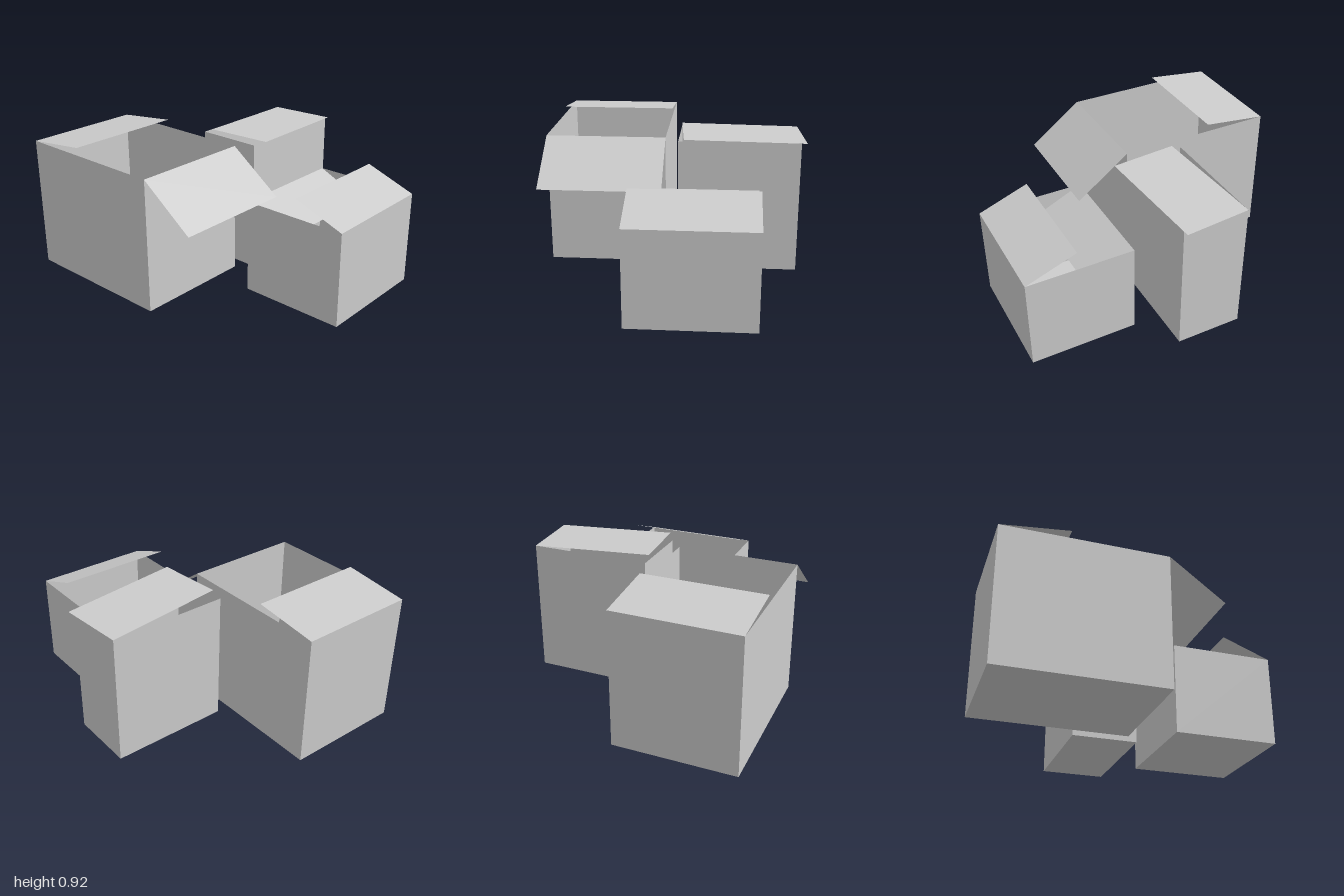
import * as THREE from 'three';

const cardboard = new THREE.MeshStandardMaterial({ color: 0xcccccc, side: THREE.DoubleSide });
cardboard.name = 'plain grey card';

// Thin-walled carton: a box without its top face, standing on the floor
function openBox(name, x0, x1, z0, z1, height) {
  const geometry = new THREE.BoxGeometry(x1 - x0, height, z1 - z0);
  const index = Array.from(geometry.index.array);
  index.splice(12, 6); // drop the +y face
  geometry.setIndex(index);
  geometry.clearGroups();
  geometry.translate((x0 + x1) / 2, height / 2, (z0 + z1) / 2);
  const mesh = new THREE.Mesh(geometry, cardboard);
  mesh.name = name;
  return mesh;
}

// Flat flap hinged on a side edge at (x, y), running from z0 to z1, swung by an angle about z
function sideFlap(name, x, y, z0, z1, length, angle) {
  const geometry = new THREE.PlaneGeometry(length, z1 - z0);
  geometry.rotateX(-Math.PI / 2).translate(length / 2, 0, 0);
  const mesh = new THREE.Mesh(geometry, cardboard);
  mesh.name = name;
  mesh.position.set(x, y, (z0 + z1) / 2);
  mesh.rotation.z = angle;
  return mesh;
}

export function createModel() {
  const model = new THREE.Group();
  model.name = 'openCartons';

  // Large front carton: one flap folded in, the other hanging outside
  const large = new THREE.Group();
  large.name = 'largeCarton';
  large.add(
    openBox('largeBox', -1, 0.04, 0.063, 0.845, 0.87),
    sideFlap('largeInnerFlap', -1, 0.87, 0.063, 0.845, 0.433, Math.atan2(0.05, 0.43)),
    sideFlap('largeOuterFlap', 0.04, 0.87, 0.063, 0.845, 0.433, Math.atan2(-0.257, 0.35))
  );

  // Small carton: one flap raised, the other sunk into the box
  const small = new THREE.Group();
  small.name = 'smallCarton';
  small.add(
    openBox('smallBox', 0.305, 1, -0.545, 0.237, 0.612),
    sideFlap('smallSunkenFlap', 0.305, 0.612, -0.545, 0.237, 0.35, Math.atan2(-0.146, 0.318)),
    sideFlap('smallRaisedFlap', 1, 0.612, -0.545, 0.237, 0.35, Math.atan2(0.122, -0.328))
  );

  // Tall carton with a loose, slightly twisted lid
  const tall = new THREE.Group();
  tall.name = 'tallCarton';
  const lidGeometry = new THREE.PlaneGeometry(0.433, 0.782);
  lidGeometry.rotateX(-Math.PI / 2).translate(0.2165, 0, 0.391);
  const lid = new THREE.Mesh(lidGeometry, cardboard);
  lid.name = 'tallLid';
  lid.position.set(-0.305, 0.871, -0.807);
  lid.rotation.set(-0.037, 0.085, 0);
  tall.add(openBox('tallBox', -0.305, 0.128, -0.807, -0.025, 0.87), lid);

  model.add(large, small, tall);
  return model;
}
